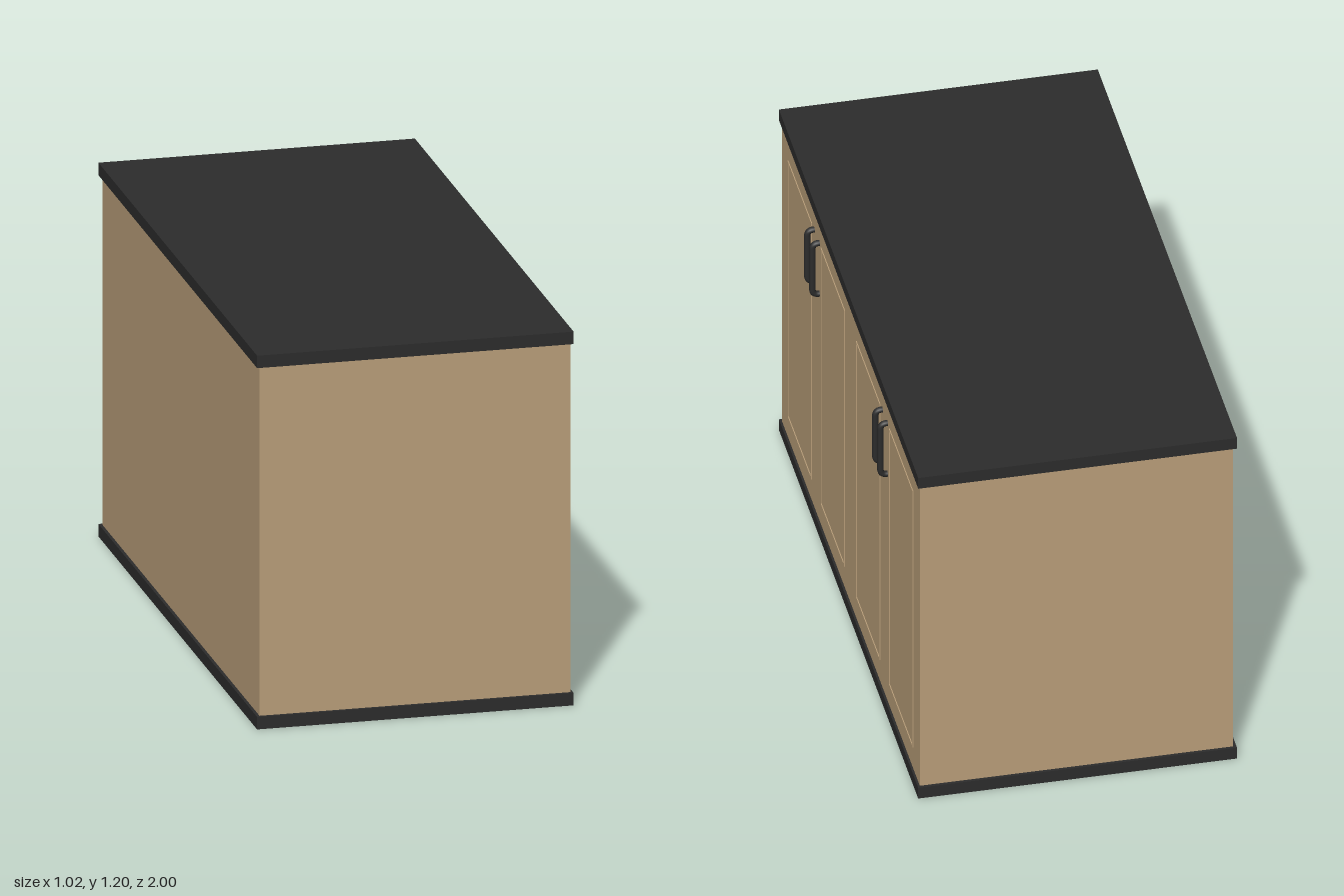
import * as THREE from 'three';

const wood = new THREE.MeshStandardMaterial({ name: 'tan wood', color: 0xba9f7a });
const dark = new THREE.MeshStandardMaterial({ name: 'charcoal', color: 0x2c2c2c });

const FACE_X = 0.478; // plane of the doors

function add(parent, name, geometry, material, x = 0, y = 0, z = 0) {
  const mesh = new THREE.Mesh(geometry, material);
  mesh.name = name;
  mesh.position.set(x, y, z);
  parent.add(mesh);
  return mesh;
}

// Thin rectangular bead outlining one door panel
function beadGeometry(width, height, t, depth) {
  const rect = (P, w, h) => new P([
    new THREE.Vector2(-w / 2, -h / 2), new THREE.Vector2(w / 2, -h / 2),
    new THREE.Vector2(w / 2, h / 2), new THREE.Vector2(-w / 2, h / 2),
  ]);
  const shape = rect(THREE.Shape, width, height);
  shape.holes.push(rect(THREE.Path, width - 2 * t, height - 2 * t));
  return new THREE.ExtrudeGeometry(shape, { depth, bevelEnabled: false }).rotateY(Math.PI / 2);
}

// Bow handle: straight grip with rounded corners returning to the door
function handleGeometry() {
  const out = 0.022, half = 0.095, r = 0.02;
  const v = (x, y) => new THREE.Vector3(x, y, 0);
  const path = new THREE.CurvePath();
  path.add(new THREE.LineCurve3(v(-0.005, -half), v(out - r, -half)));
  path.add(new THREE.QuadraticBezierCurve3(v(out - r, -half), v(out, -half), v(out, r - half)));
  path.add(new THREE.LineCurve3(v(out, r - half), v(out, half - r)));
  path.add(new THREE.QuadraticBezierCurve3(v(out, half - r), v(out, half), v(out - r, half)));
  path.add(new THREE.LineCurve3(v(out - r, half), v(-0.005, half)));
  return new THREE.TubeGeometry(path, 64, 0.01, 10, false);
}

export function createModel() {
  const model = new THREE.Group();
  model.name = 'cabinet';

  // Carcass between two overhanging slabs
  add(model, 'cabinetBody', new THREE.BoxGeometry(0.981, 1.12, 1.98), wood, -0.0125, 0.6, 0);
  const slab = new THREE.BoxGeometry(0.998, 0.04, 2);
  add(model, 'countertop', slab, dark, -0.014, 1.18, 0);
  add(model, 'basePlinth', slab, dark, -0.014, 0.02, 0);

  // Four doors in two mirrored pairs
  const bead = beadGeometry(0.34, 0.96, 0.005, 0.003);
  const handle = handleGeometry();
  for (const side of [1, -1]) {
    for (const [panelZ, handleZ] of [[0.727, 0.525], [0.253, 0.452]]) {
      const door = new THREE.Group();
      door.name = 'door';
      add(door, 'panelBead', bead, wood, FACE_X, 0.6, side * panelZ);
      add(door, 'doorHandle', handle, dark, FACE_X, 0.983, side * handleZ);
      model.add(door);
    }
  }
  return model;
}
